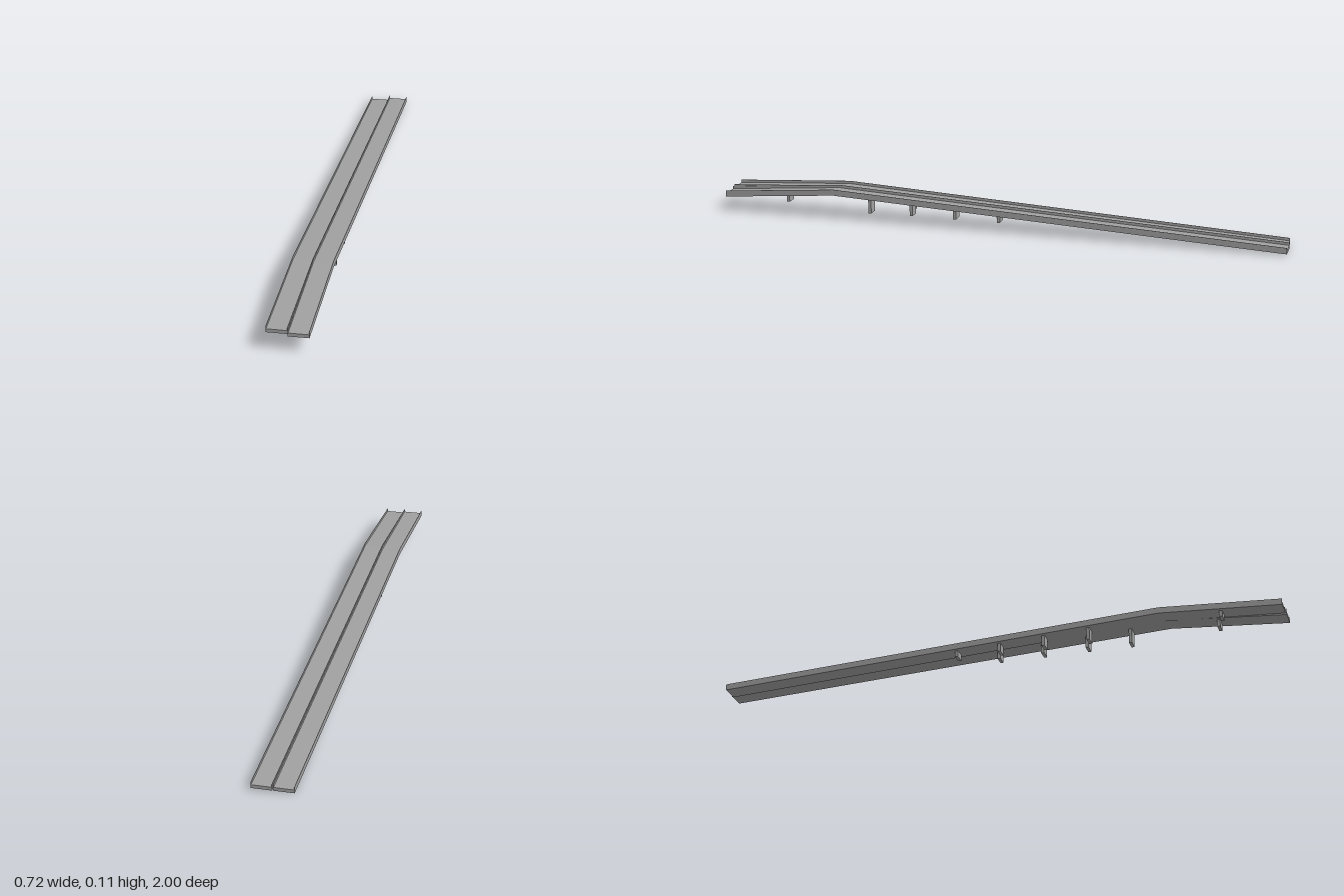
import * as THREE from 'three';

const SLAB = 0.012, CURB = 0.022, CURB_WIDTH = 0.0015;

// Each carriageway: across-range w, underside profile [along, y], pier [z, foot y]
const ROADS = [
  {
    name: 'right', w0: -0.0735, w1: -0.004,
    under: [[-1.018, 0.058], [-0.59, 0.085], [1.022, 0.0]],
    piers: [[0.76, 0.05], [0.31, 0.027], [0.155, 0.025], [0, 0.025], [-0.15, 0.024]],
  },
  {
    name: 'left', w0: -0.003, w1: 0.066,
    under: [[-1.022, 0.052], [-0.605, 0.087], [1.03, 0.005]],
    piers: [[0.76, 0.047], [0.46, 0.027], [0.31, 0.03], [0.155, 0.03], [0, 0.03]],
  },
];

// Bent strip of constant height following the underside, spanning w0..w1
function strip(under, height, w0, w1) {
  const bottom = under.map(([s, y]) => new THREE.Vector2(s, y));
  const top = under.map(([s, y]) => new THREE.Vector2(s, y + height)).reverse();
  const geometry = new THREE.ExtrudeGeometry(new THREE.Shape([...bottom, ...top]), {
    depth: w1 - w0, bevelEnabled: false,
  });
  return geometry.translate(0, 0, w0);
}

// Height of the underside at a distance along the bridge
function underAt(under, s) {
  const [a, b, c] = under;
  const [p, q] = s < b[0] ? [a, b] : [b, c];
  return THREE.MathUtils.mapLinear(s, p[0], q[0], p[1], q[1]);
}

export function createModel() {
  const concrete = new THREE.MeshStandardMaterial({ color: 0xa0a0a0 });
  concrete.name = 'concrete grey';

  const bridge = new THREE.Group();
  bridge.name = 'bridge';
  const angle = Math.acos(0.285);
  bridge.rotation.y = angle;

  const add = (parent, name, geometry) => {
    const mesh = new THREE.Mesh(geometry, concrete);
    mesh.name = name;
    parent.add(mesh);
    return mesh;
  };

  for (const { name, w0, w1, under, piers } of ROADS) {
    const road = new THREE.Group();
    road.name = `${name}Carriageway`;
    bridge.add(road);

    // Deck and its two thin edge walls
    add(road, 'deck', strip(under, SLAB, w0, w1));
    add(road, 'outerCurb', strip(under, CURB, w0, w0 + CURB_WIDTH));
    add(road, 'innerCurb', strip(under, CURB, w1 - CURB_WIDTH, w1));

    // Wall piers, tops sunk slightly into the deck
    const w = (w0 + w1) / 2;
    for (const [z, foot] of piers) {
      const s = (w * Math.cos(angle) - z) / Math.sin(angle);
      const height = underAt(under, s) + 0.004 - foot;
      add(road, 'pier', new THREE.BoxGeometry(0.011, height, 0.04))
        .position.set(s, foot + height / 2, w);
    }
  }

  const model = new THREE.Group();
  model.name = 'twinBridge';
  model.add(bridge);
  return model;
}
